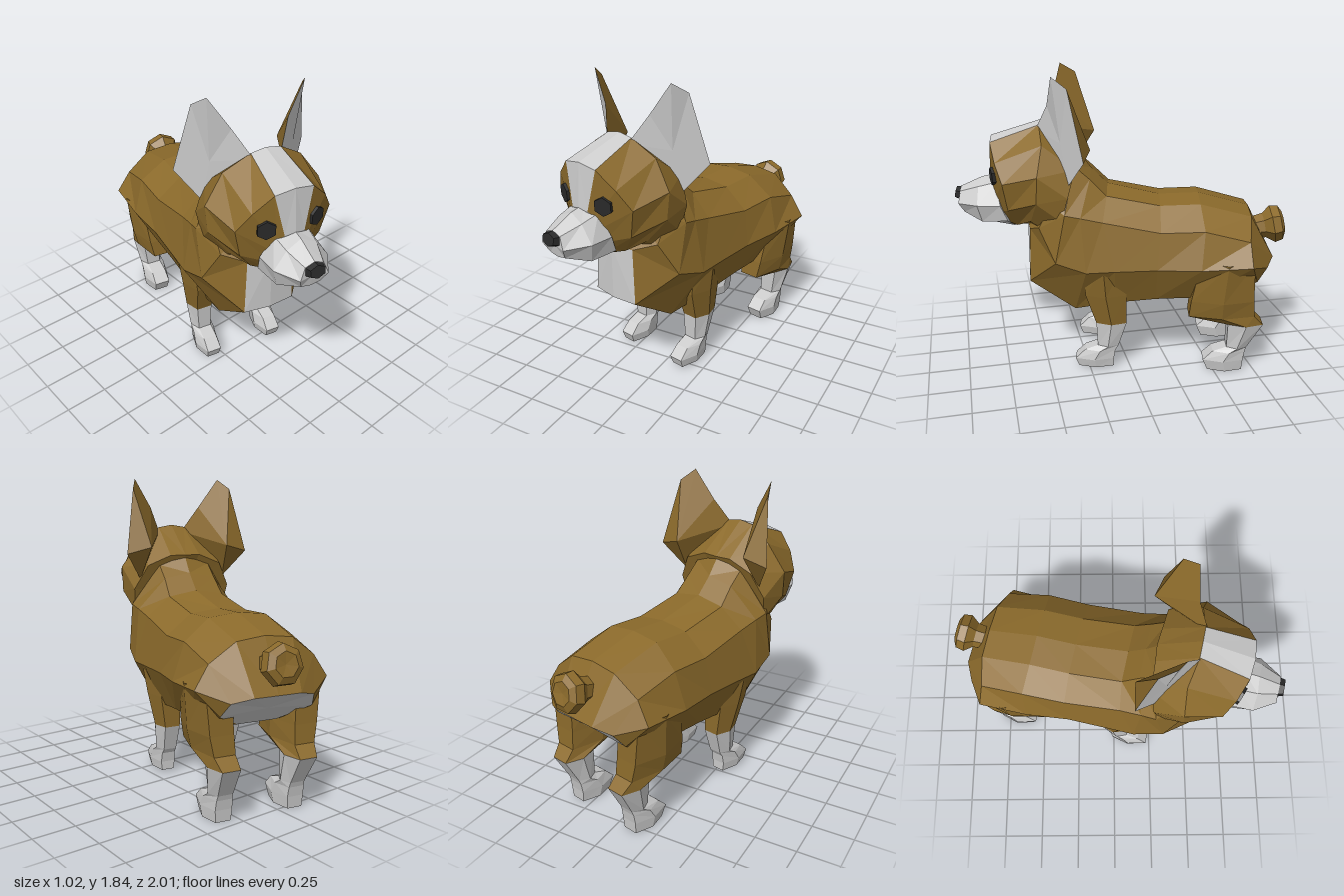
import * as THREE from 'three';

const mat = (color) => new THREE.MeshStandardMaterial({ color, flatShading: true });
const MATS = { fur: mat(0x8b6a2b), pale: mat(0xcccccc), dark: mat(0x2a2a2a) };

// Collects triangles per colour, each with its mirror image across x = 0
class Part {
  constructor(name) {
    this.name = name;
    this.tris = { fur: [], pale: [], dark: [] };
  }
  tri(m, a, b, c) {
    const flip = ([x, y, z]) => [-x, y, z];
    this.tris[m].push(...a, ...b, ...c, ...flip(a), ...flip(c), ...flip(b));
  }
  quad(m, a, b, c, d) {
    this.tri(m, a, b, c);
    this.tri(m, a, c, d);
  }
  build() {
    const group = new THREE.Group();
    group.name = this.name;
    for (const [m, list] of Object.entries(this.tris)) {
      if (!list.length) continue;
      const geo = new THREE.BufferGeometry();
      geo.setAttribute('position', new THREE.Float32BufferAttribute(list, 3));
      geo.computeVertexNormals();
      const mesh = new THREE.Mesh(geo, MATS[m]);
      mesh.name = `${this.name}_${m}`;
      group.add(mesh);
    }
    return group;
  }
}

// Skin between lengthwise rails; rails run rear to front and are ordered top to bottom
function loft(name, rails, colour, rearCap, frontCap) {
  const part = new Part(name);
  const last = rails[0].length - 1;
  const middle = (i) => {
    const avg = (k) => rails.reduce((s, r) => s + r[i][k], 0) / rails.length;
    return [0, avg(1), avg(2)];
  };
  for (let j = 0; j < rails.length - 1; j++) {
    const [p, q] = [rails[j], rails[j + 1]];
    for (let i = 0; i < last; i++) part.quad(colour(i, j), p[i], p[i + 1], q[i + 1], q[i]);
    part.tri(rearCap, middle(0), p[0], q[0]);
    part.tri(frontCap, middle(last), q[last], p[last]);
  }
  return part.build();
}

// Leg pair from six-sided rings, top to bottom: [y, inner x, outer x, back z, front z]
function legs(name, rings, furRings) {
  const part = new Part(name);
  const loops = rings.map(([y, i, o, b, f]) => {
    const c = (o - i) * 0.2, m = (b + f) / 2;
    return [[o - c, y, f], [i + c, y, f], [i, y, m], [i + c, y, b], [o - c, y, b], [o, y, m]];
  });
  const [y, i, o, b, f] = rings[rings.length - 1];
  const sole = [(i + o) / 2, y, (b + f) / 2];
  loops.forEach((loop, r) => {
    for (let k = 0; k < 6; k++) {
      const n = (k + 1) % 6, next = loops[r + 1];
      if (next) part.quad(r < furRings ? 'fur' : 'pale', loop[k], loop[n], next[n], next[k]);
      else part.tri('pale', sole, loop[k], loop[n]);
    }
  });
  return part.build();
}

export function createModel() {
  const root = new THREE.Group();
  root.name = 'dog';
  const dog = new THREE.Group();
  dog.name = 'dogBody';
  root.add(dog);

  // Torso, neck and chest; the lowest strip is the pale belly and bib
  const torso = [
    [[0, .72, -.92], [0, 1.01, -.77], [0, 1.09, -.46], [0, 1.08, -.22], [0, 1.15, .1], [0, 1.25, .2], [0, 1.36, .28], [0, 1.4, .36]],
    [[.14, .72, -.92], [.17, .99, -.77], [.18, 1.07, -.46], [.18, 1.06, -.22], [.18, 1.12, .1], [.17, 1.22, .2], [.17, 1.3, .29], [.17, 1.34, .36]],
    [[.25, .69, -.87], [.32, .88, -.75], [.335, .95, -.48], [.33, .94, -.22], [.32, 1, .12], [.33, 1.03, .25], [.34, 1.05, .34], [.28, 1.1, .42]],
    [[.28, .61, -.81], [.405, .75, -.76], [.4, .73, -.46], [.37, .72, -.2], [.37, .71, .05], [.37, .7, .22], [.34, .75, .4], [.27, .95, .5]],
    [[.12, .52, -.7], [.24, .52, -.66], [.27, .5, -.45], [.27, .49, -.2], [.26, .46, .05], [.18, .38, .3], [.16, .56, .58], [.14, .9, .57]],
    [[0, .52, -.7], [0, .5, -.6], [0, .47, -.4], [0, .44, -.2], [0, .42, .05], [0, .38, .32], [0, .56, .6], [0, .9, .6]],
  ];
  dog.add(loft('torso', torso, (i, j) => (j === 4 ? 'pale' : 'fur'), 'pale', 'fur'));

  // Head with a pale blaze running from crown to muzzle
  const head = [
    [[0, 1.36, .26], [0, 1.545, .5], [0, 1.45, .8], [0, 1.2, .82]],
    [[.1, 1.36, .27], [.09, 1.53, .5], [.115, 1.43, .79], [.06, 1.19, .81]],
    [[.25, 1.3, .28], [.24, 1.44, .47], [.22, 1.33, .75], [.1, 1.16, .79]],
    [[.33, 1.15, .32], [.355, 1.28, .49], [.29, 1.22, .7], [.12, 1.1, .77]],
    [[.31, 1, .36], [.345, 1.12, .5], [.25, 1.05, .68], [.1, 1, .75]],
    [[.22, .9, .45], [.24, .98, .55], [.16, .93, .64], [.08, .92, .7]],
    [[0, .87, .5], [0, .88, .58], [0, .88, .63], [0, .88, .7]],
  ];
  dog.add(loft('head', head, (i, j) => (j === 0 && i > 0 ? 'pale' : 'fur'), 'fur', 'pale'));

  // Muzzle
  const muzzle = [
    [[0, 1.21, .78], [0, 1.19, .87], [0, 1.13, 1]],
    [[.1, 1.18, .77], [.09, 1.15, .88], [.055, 1.11, 1]],
    [[.165, 1.05, .74], [.165, 1.05, .88], [.085, 1.04, 1.01]],
    [[.15, .95, .7], [.13, .94, .86], [.06, .98, .98]],
    [[0, .87, .68], [0, .9, .84], [0, .97, .98]],
  ];
  dog.add(loft('muzzle', muzzle, () => 'pale', 'pale', 'pale'));

  // Nose
  const nose = new THREE.Mesh(new THREE.CylinderGeometry(.05, .065, .05, 6), MATS.dark);
  nose.name = 'nose';
  nose.rotation.set(Math.PI / 2 - .15, 0, 0);
  nose.scale.z = .75;
  nose.position.set(0, 1.085, 1.01);
  dog.add(nose);

  // Eyes, set flat against the face
  for (const s of [1, -1]) {
    const eye = new THREE.Mesh(new THREE.CylinderGeometry(.055, .055, .025, 6).rotateX(Math.PI / 2), MATS.dark);
    eye.name = s > 0 ? 'leftEye' : 'rightEye';
    eye.position.set(s * .15, 1.235, .776);
    eye.rotation.set(.05, s * .35, 0);
    dog.add(eye);
  }

  // Ears: a rim fanned to a hollow pale front and a bulging fur back
  const ears = new Part('ears');
  const rim = [[.08, 1.5, .52], [.17, 1.66, .44], [.29, 1.84, .4], [.335, 1.78, .31], [.41, 1.38, .22], [.29, 1.21, .32]];
  const hollow = [.26, 1.46, .36], bulge = [.26, 1.42, .19];
  rim.forEach((p, k) => {
    const q = rim[(k + 1) % rim.length];
    ears.tri('pale', hollow, q, p);
    ears.tri('fur', bulge, p, q);
  });
  dog.add(ears.build());

  // Legs and paws
  dog.add(legs('frontLegs', [
    [.74, .12, .365, .0, .24], [.52, .12, .33, -.02, .23], [.32, .135, .295, -.02, .167],
    [.16, .145, .28, .03, .16], [.13, .145, .285, .05, .24], [.07, .14, .29, .06, .3], [.015, .15, .28, .06, .28],
  ], 2));
  dog.add(legs('rearLegs', [
    [.76, .15, .4, -.78, -.46], [.5, .14, .375, -.79, -.41], [.39, .14, .35, -.8, -.4], [.325, .145, .325, -.86, -.645],
    [.16, .15, .3, -.77, -.645], [.13, .145, .305, -.76, -.56], [.07, .14, .31, -.75, -.5], [0, .15, .3, -.745, -.53],
  ], 3));

  // Stubby tail, flaring to a blunt end
  const profile = [[.07, 0], [.08, .08], [.12, .13], [.11, .18], [.07, .2], [0, .19]];
  const tail = new THREE.Mesh(new THREE.LatheGeometry(profile.map(([r, y]) => new THREE.Vector2(r, y)), 7), MATS.fur);
  tail.name = 'tail';
  tail.position.set(0, .86, -.8);
  tail.rotation.x = -Math.PI / 2 + .2;
  dog.add(tail);

  // The dog stands turned a little to its right
  dog.rotation.y = -.227;
  dog.position.set(-.046, 0, -.011);
  return root;
}
